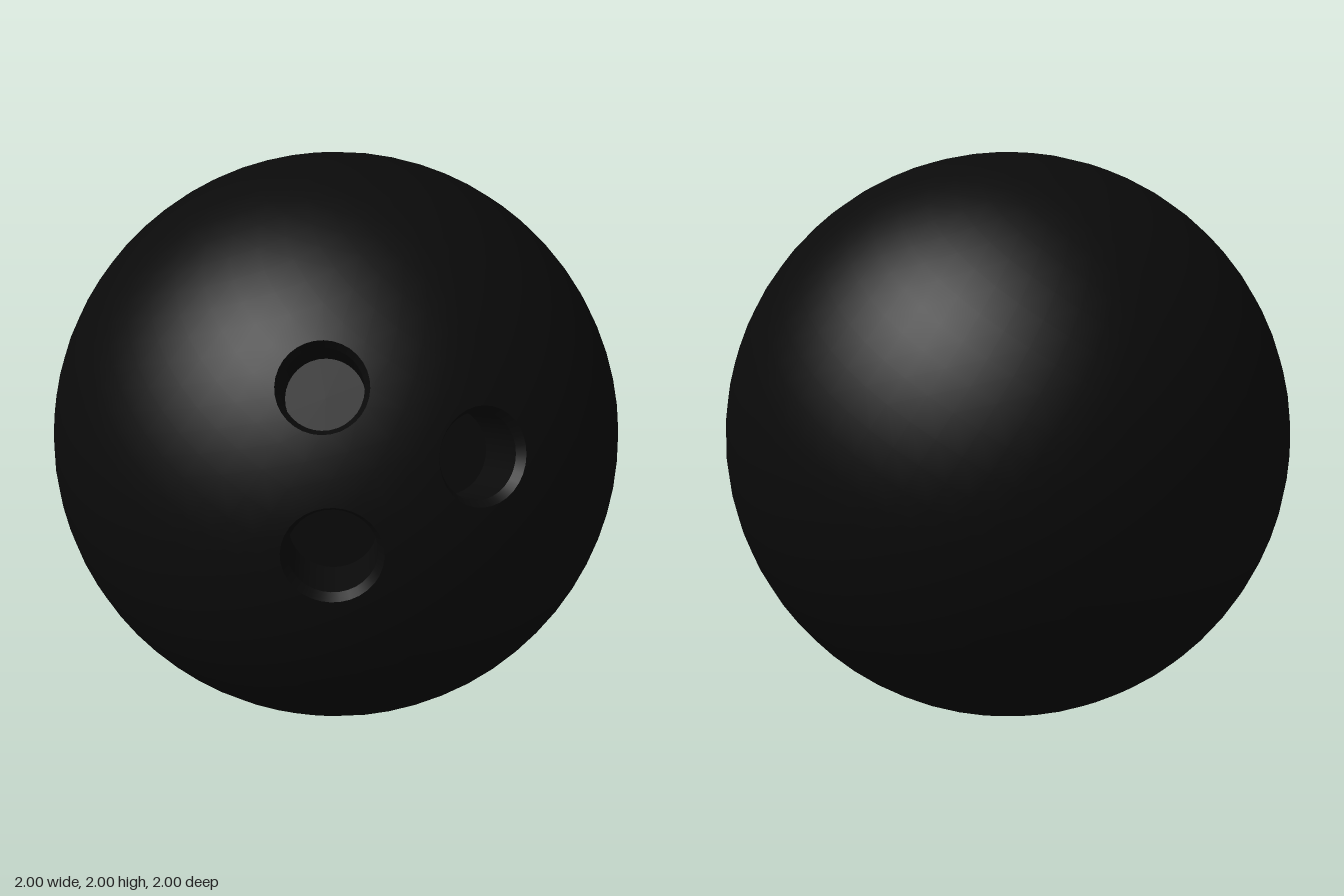
import * as THREE from 'three';
import { ConvexGeometry } from 'three/addons/geometries/ConvexGeometry.js';

const SIDES = 32;
const UP = new THREE.Vector3(0, 1, 0);

// Finger and thumb holes: axis direction from the ball's centre, rim radius
const HOLES = [
  { name: 'upperFingerHole', axis: [0.47, 0.49, 0.70], r: 0.142 },
  { name: 'sideFingerHole', axis: [0.86, 0.27, 0.41], r: 0.155 },
  { name: 'thumbHole', axis: [0.58, 0.01, 0.80], r: 0.157 },
].map(h => ({ ...h, axis: new THREE.Vector3(...h.axis).normalize() }));

// Ball skin: evenly spread points plus a ring at each rim, with the caps removed
function ballShell() {
  const points = [UP.clone(), UP.clone().negate()];
  const count = 1400;
  for (let i = 1; i < count; i++) {
    const y = 1 - (2 * i) / count, s = Math.sqrt(1 - y * y), a = i * 2.399963;
    const p = new THREE.Vector3(s * Math.cos(a), y, s * Math.sin(a));
    if (HOLES.every(h => p.angleTo(h.axis) > Math.asin(h.r) + 0.04)) points.push(p);
  }
  for (const h of HOLES) {
    const turn = new THREE.Quaternion().setFromUnitVectors(UP, h.axis);
    points.push(h.axis.clone());
    for (let i = 0; i < SIDES; i++) {
      const a = (i / SIDES) * Math.PI * 2;
      points.push(new THREE.Vector3(h.r * Math.sin(a), Math.sqrt(1 - h.r * h.r), h.r * Math.cos(a)).applyQuaternion(turn));
    }
  }
  const hull = new ConvexGeometry(points).getAttribute('position');
  const kept = [];
  for (let i = 0; i < hull.count; i += 3) {
    const tri = [0, 1, 2].map(k => new THREE.Vector3().fromBufferAttribute(hull, i + k));
    const mid = tri[0].clone().add(tri[1]).add(tri[2]);
    if (HOLES.every(h => mid.angleTo(h.axis) > Math.asin(h.r) * 0.97)) {
      tri.forEach(p => kept.push(p.x, p.y, p.z));
    }
  }
  // Points lie on a unit sphere, so each position is also its smooth normal
  const geo = new THREE.BufferGeometry();
  geo.setAttribute('position', new THREE.Float32BufferAttribute(kept, 3));
  geo.setAttribute('normal', new THREE.Float32BufferAttribute(kept, 3));
  return geo;
}

// Blind hole with a bevelled rim; doubled points keep the corners sharp
function holeLining(r) {
  const top = Math.sqrt(1 - r * r), inner = r * 0.88;
  const profile = [
    [r, top], [inner, top - 0.03], [inner, top - 0.03],
    [inner, top - 0.2], [inner, top - 0.2], [0, top - 0.2],
  ].map(([x, y]) => new THREE.Vector2(x, y));
  return new THREE.LatheGeometry(profile, SIDES);
}

export function createModel() {
  const model = new THREE.Group();
  model.name = 'bowlingBall';
  const black = new THREE.MeshStandardMaterial({ color: 0x0a0a0a });
  black.name = 'black';

  const shell = new THREE.Mesh(ballShell(), black);
  shell.name = 'ballShell';
  shell.position.y = 1;
  model.add(shell);

  for (const h of HOLES) {
    const hole = new THREE.Mesh(holeLining(h.r), black);
    hole.name = h.name;
    hole.position.y = 1;
    hole.quaternion.setFromUnitVectors(UP, h.axis);
    model.add(hole);
  }
  return model;
}
